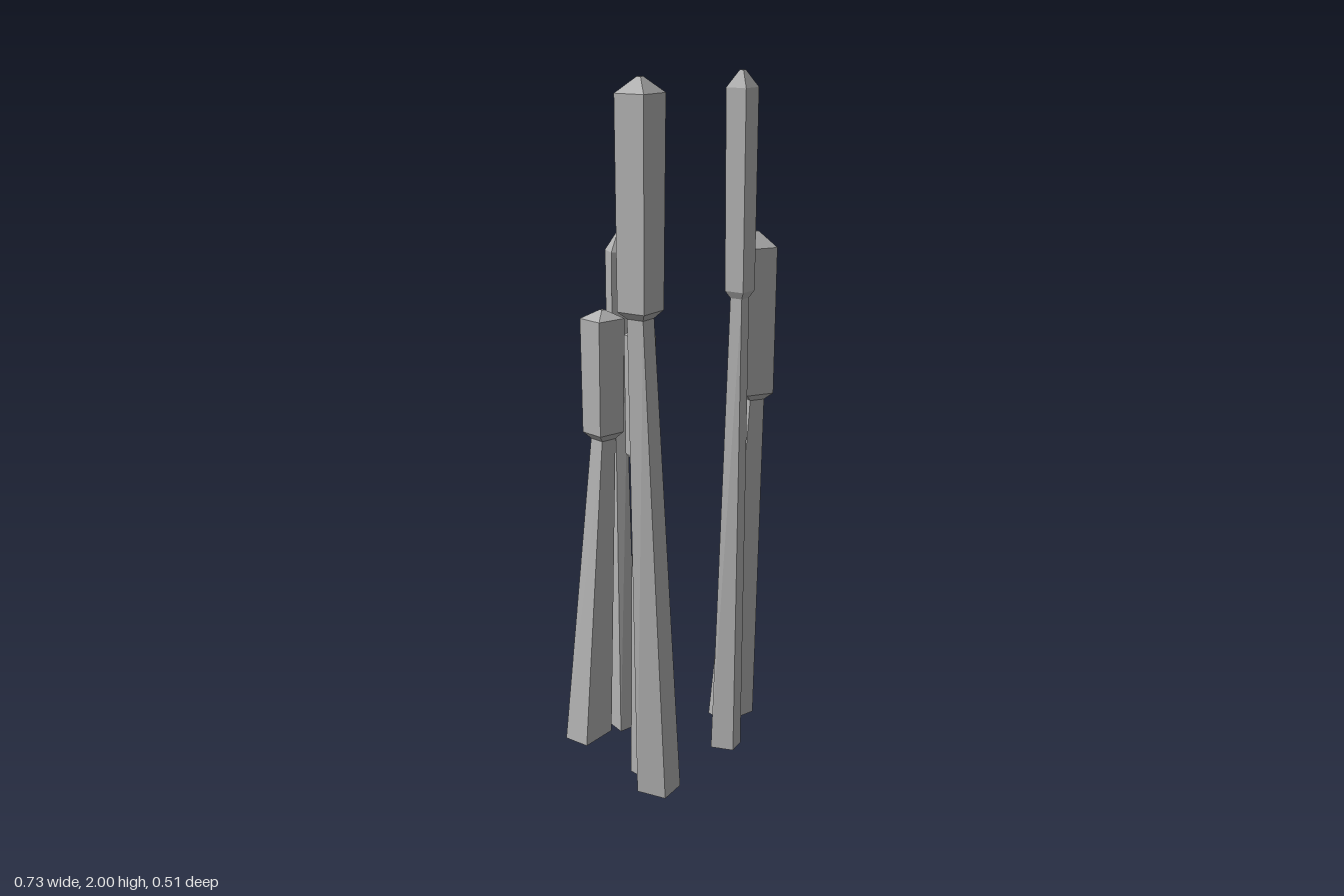
import * as THREE from 'three';

// Each reed: base and head as [x, y, z, width, depth, turn]; head y is its lower edge.
// neck = stalk width under the head, shoulder = upper edge of the head, tip = peak height
const REEDS = [
  { base: [-0.26, 0.03, 0.18, 0.105, 0.085, -0.2], head: [-0.32, 1.41, 0.165, 0.097, 0.09, -0.02], neck: 0.05, shoulder: 1.96, tip: 2.0 },
  { base: [0.072, 0.03, 0.187, 0.06, 0.07, -0.2], head: [0.061, 1.41, 0.222, 0.063, 0.063, 0], neck: 0.037, shoulder: 1.955, tip: 2.0 },
  { base: [0.262, 0.032, 0.08, 0.104, 0.09, 0.42], head: [0.299, 1.06, 0.122, 0.093, 0.088, 0.51], neck: 0.046, shoulder: 1.49, tip: 1.535 },
  { base: [-0.175, 0.014, 0.075, 0.062, 0.065, 0.1], head: [-0.154, 0.965, 0.041, 0.062, 0.063, 0.32], neck: 0.033, shoulder: 1.3, tip: 1.325 },
  { base: [-0.085, 0.014, -0.207, 0.104, 0.09, 0.15], head: [-0.037, 0.965, -0.178, 0.094, 0.085, 0.22], neck: 0.05, shoulder: 1.3, tip: 1.325 },
  { base: [0.002, 0.032, -0.142, 0.06, 0.06, 0.3], head: [0.036, 1.06, -0.173, 0.062, 0.06, 0.62], neck: 0.035, shoulder: 1.485, tip: 1.535 },
];

// Four corners of a turned rectangle; slope tilts it along x and z
function ring(x, y, z, w, d, turn, slope = [0, 0]) {
  const c = Math.cos(turn), s = Math.sin(turn);
  return [[-1, -1], [1, -1], [1, 1], [-1, 1]].map(([a, b]) => {
    const u = a * w / 2, v = b * d / 2;
    const dx = u * c - v * s, dz = u * s + v * c;
    return [x + dx, y + slope[0] * dx + slope[1] * dz, z + dz];
  });
}

// Closed, hard-edged skin through rings listed from bottom to top
function loft(rings) {
  const pos = [];
  const quad = (a, b, c, d) => [a, b, c, a, c, d].forEach((p) => pos.push(...p));
  const low = rings[0], high = rings[rings.length - 1];
  quad(low[0], low[1], low[2], low[3]);
  quad(high[0], high[3], high[2], high[1]);
  for (let r = 0; r < rings.length - 1; r++) {
    for (let i = 0; i < 4; i++) {
      const j = (i + 1) % 4;
      quad(rings[r][j], rings[r][i], rings[r + 1][i], rings[r + 1][j]);
    }
  }
  const geo = new THREE.BufferGeometry();
  geo.setAttribute('position', new THREE.Float32BufferAttribute(pos, 3));
  geo.computeVertexNormals();
  return geo;
}

export function createModel() {
  const model = new THREE.Group();
  model.name = 'reeds';
  const grey = new THREE.MeshStandardMaterial({ color: 0xb2b2b2, flatShading: true });
  grey.name = 'grey';

  REEDS.forEach(({ base, head, neck, shoulder, tip }, n) => {
    const reed = new THREE.Group();
    reed.name = `reed${n + 1}`;
    const [hx, hy, hz, w, d, turn] = head;
    const lean = [2.5 * (hx - base[0]) / hy, 2.5 * (hz - base[2]) / hy];
    const neckRing = ring(hx, hy - 0.02, hz, neck, neck, turn);

    // Stalk tapers and twists up from a slanted foot
    const stalk = new THREE.Mesh(loft([ring(...base, lean), neckRing]), grey);
    stalk.name = 'stalk';

    // Seed head: chamfered underside, slightly flaring body, low pyramid top
    const seedHead = new THREE.Mesh(loft([
      neckRing,
      ring(hx, hy, hz, w * 0.93, d * 0.93, turn),
      ring(hx, shoulder, hz, w, d, turn),
      ring(hx, tip, hz, 0.012, 0.012, turn),
    ]), grey);
    seedHead.name = 'seedHead';

    reed.add(stalk, seedHead);
    model.add(reed);
  });
  return model;
}
